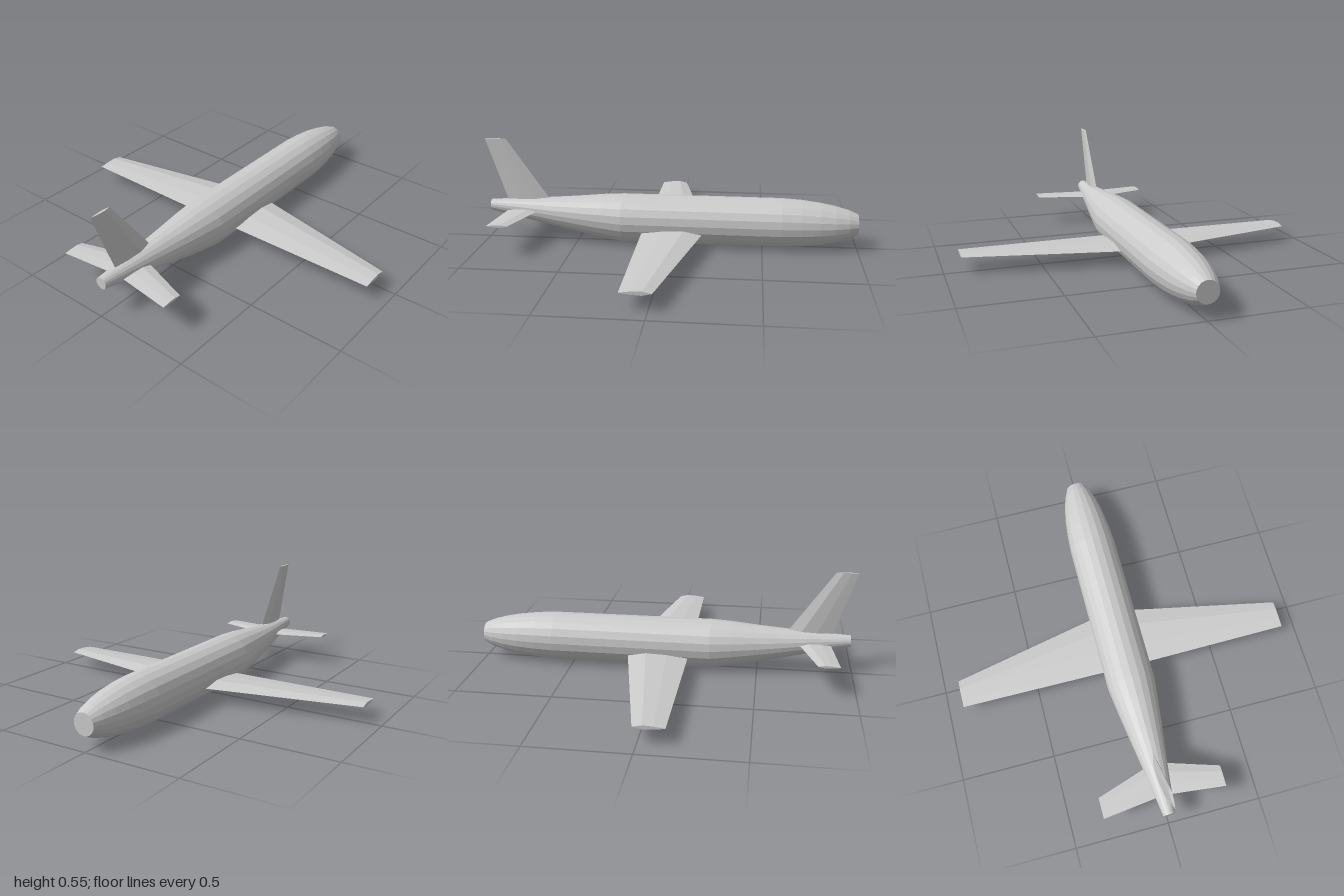
import * as THREE from 'three';

const material = new THREE.MeshStandardMaterial({ color: 0xcccccc, flatShading: true });

// Skin a list of equal-length rings (counter-clockwise about the loft direction) and cap both ends.
function loft(name, rings) {
  const n = rings[0].length;
  const positions = rings.flat(2);
  const index = [];
  for (let i = 0; i < rings.length - 1; i++) {
    for (let k = 0; k < n; k++) {
      const a = i * n + k, b = i * n + (k + 1) % n;
      index.push(a, b, b + n, a, b + n, a + n);
    }
  }
  const last = (rings.length - 1) * n;
  for (let k = 1; k < n - 1; k++) {
    index.push(0, k + 1, k);
    index.push(last, last + k, last + k + 1);
  }
  const indexed = new THREE.BufferGeometry();
  indexed.setAttribute('position', new THREE.Float32BufferAttribute(positions, 3));
  indexed.setIndex(index);
  const geometry = indexed.toNonIndexed();
  geometry.computeVertexNormals();
  const mesh = new THREE.Mesh(geometry, material);
  mesh.name = name;
  return mesh;
}

// Six-sided aerofoil as [chord position, thickness] pairs, nose edge first.
const AEROFOIL = [[0, 0], [0.3, 1], [0.65, 0.75], [1, 0], [0.65, -0.75], [0.3, -1]];

// Flat surface running from one side through the body to the other.
function horizontalSurface(name, y, root, tip) {
  const ring = (x, s) => AEROFOIL.map(([u, t]) =>
    [x, y + t * s.half, s.front + u * (s.back - s.front)]);
  return loft(name, [ring(-tip.x, tip), ring(0, root), ring(tip.x, tip)]);
}

function verticalSurface(name, root, tip) {
  const ring = s => AEROFOIL.map(([u, t]) =>
    [-t * s.half, s.y, s.front + u * (s.back - s.front)]);
  return loft(name, [ring(root), ring(tip)]);
}

function createFuselage() {
  // z, bottom y, top y, half width
  const sections = [
    [-1, 0.077, 0.188, 0.056],
    [-0.95, 0.053, 0.209, 0.078],
    [-0.88, 0.033, 0.228, 0.098],
    [-0.8, 0.018, 0.243, 0.113],
    [-0.7, 0.007, 0.255, 0.124],
    [-0.6, 0.001, 0.261, 0.13],
    [0.25, 0, 0.262, 0.13],
    [0.36, 0.018, 0.256, 0.117],
    [0.5, 0.047, 0.243, 0.098],
    [0.65, 0.08, 0.232, 0.076],
    [0.8, 0.114, 0.223, 0.055],
    [0.98, 0.152, 0.213, 0.031],
  ];
  const sides = 20;
  const rings = sections.map(([z, bottom, top, halfWidth]) =>
    Array.from({ length: sides }, (_, k) => {
      const angle = (k / sides) * Math.PI * 2;
      return [
        halfWidth * Math.cos(angle),
        (bottom + top) / 2 + (top - bottom) / 2 * Math.sin(angle),
        z,
      ];
    }));
  return loft('fuselage', rings);
}

export function createModel() {
  const model = new THREE.Group();
  model.name = 'aircraft';
  model.add(
    createFuselage(),
    horizontalSurface('wing', 0.084,
      { front: -0.207, back: 0.138, half: 0.022 },
      { x: 0.91, front: -0.02, back: 0.13, half: 0.01 }),
    horizontalSurface('tailplane', 0.165,
      { front: 0.7, back: 0.875, half: 0.012 },
      { x: 0.325, front: 0.803, back: 0.912, half: 0.007 }),
    verticalSurface('fin',
      { y: 0.18, front: 0.625, back: 0.875, half: 0.016 },
      { y: 0.553, front: 0.885, back: 1, half: 0.007 }),
  );
  return model;
}
